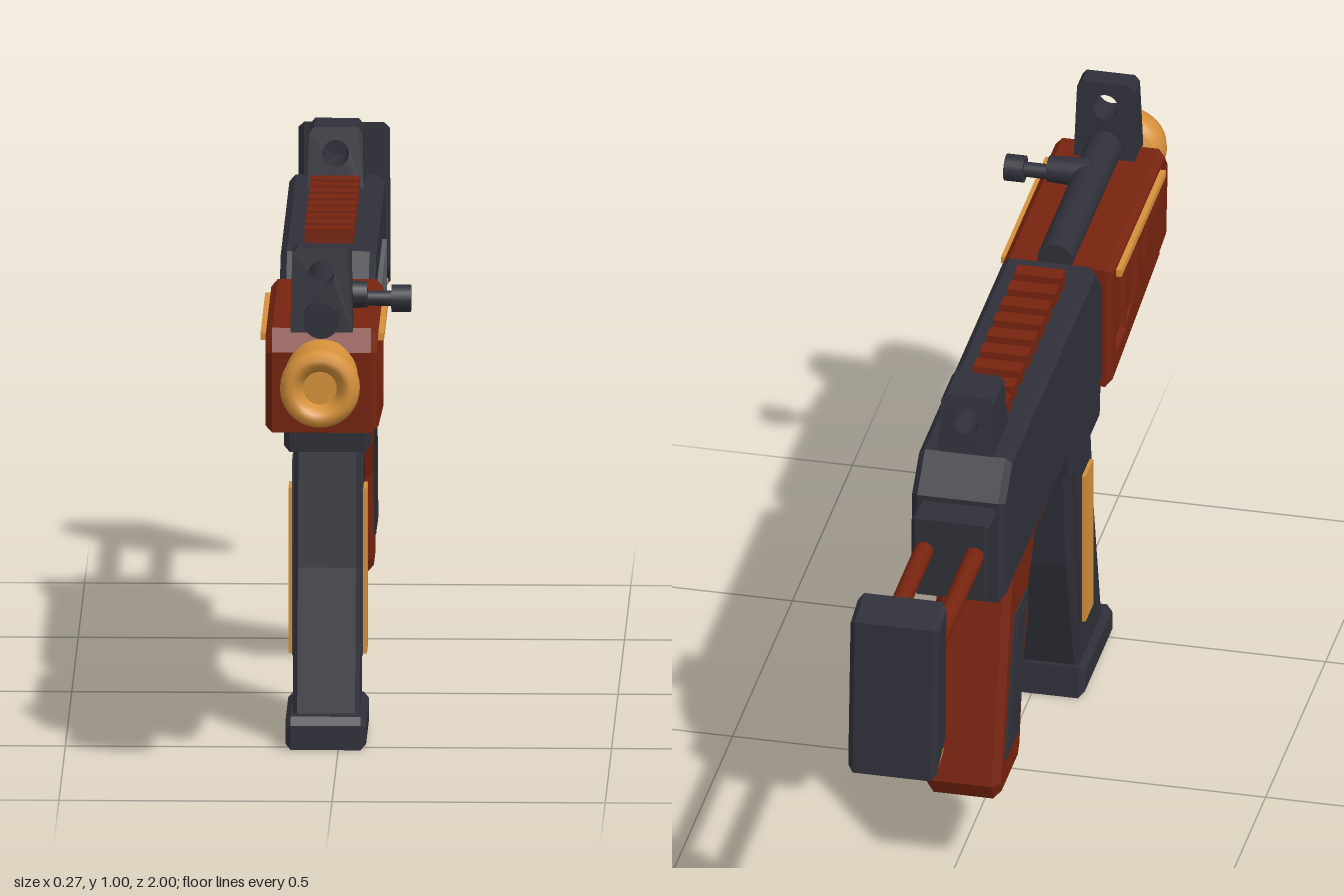
import * as THREE from 'three';

const paint = (name, color) => {
  const m = new THREE.MeshStandardMaterial({ color });
  m.name = name;
  return m;
};

export function createModel() {
  const dark = paint('charcoal', 0x30303a);
  const red = paint('rust red', 0x78240f);
  const gold = paint('brass gold', 0xd5913a);
  const grey = paint('port grey', 0x5e6466);

  const model = new THREE.Group();
  const gun = new THREE.Group();
  gun.name = 'gun';
  gun.position.x = -0.023; // the side knob offsets the body from the centre
  model.add(gun);

  const add = (name, geometry, material, x = 0, y = 0, z = 0) => {
    const mesh = new THREE.Mesh(geometry, material);
    mesh.name = name;
    mesh.position.set(x, y, z);
    gun.add(mesh);
    return mesh;
  };
  const box = (name, w, h, d, material, x, y, z) =>
    add(name, new THREE.BoxGeometry(w, h, d), material, x, y, z);
  const shapeOf = (pts) => new THREE.Shape(pts.map(([a, b]) => new THREE.Vector2(a, b)));

  // Side profile of [z, y] points, extruded across x with chamfered edges
  const slab = (name, pts, half, material, bevel = 0.01, x = 0, holes = []) => {
    const shape = shapeOf(pts);
    shape.holes = holes.map(shapeOf);
    const depth = 2 * (half - bevel);
    const g = new THREE.ExtrudeGeometry(shape, {
      depth, bevelEnabled: bevel > 0, bevelSize: bevel, bevelThickness: bevel,
      bevelOffset: -bevel, bevelSegments: 1,
    });
    g.translate(0, 0, -depth / 2).rotateY(-Math.PI / 2);
    return add(name, g, material, x);
  };
  // Cylinders along z and along x
  const rodZ = (name, r, z0, z1, material, x, y, sides = 24) =>
    add(name, new THREE.CylinderGeometry(r, r, z1 - z0, sides).rotateX(Math.PI / 2), material, x, y, (z0 + z1) / 2);
  const rodX = (name, r0, r1, x0, x1, material, y, z) =>
    add(name, new THREE.CylinderGeometry(r1, r0, x1 - x0, 20).rotateZ(-Math.PI / 2), material, (x0 + x1) / 2, y, z);

  // Receiver, rear block and side port
  slab('receiver', [[0.38, 0.62], [0.38, 0.83], [0.32, 0.89], [-0.385, 0.89], [-0.45, 0.83], [-0.45, 0.62]], 0.0875, dark, 0.012);
  slab('rearBlock', [[-0.44, 0.67], [-0.44, 0.82], [-0.518, 0.82], [-0.518, 0.67]], 0.073, dark, 0.008);
  box('sidePort', 0.009, 0.14, 0.428, grey, 0.0915, 0.744, 0.048);

  // Handguard with four recessed slots on each side
  const slots = [0.735, 0.645, 0.555, 0.462].map((z) =>
    [[z - 0.032, 0.668], [z + 0.032, 0.668], [z + 0.032, 0.795], [z - 0.032, 0.795]]);
  slab('handguard', [[0.38, 0.603], [0.848, 0.658], [0.862, 0.81], [0.83, 0.85], [0.38, 0.85]], 0.1025, red, 0.012, 0, slots);
  box('handguardCore', 0.185, 0.15, 0.4, red, 0, 0.733, 0.6);
  for (const s of [-1, 1]) box('handguardStrip', 0.012, 0.014, 0.37, gold, s * 0.107, 0.825, 0.602);

  // Muzzle: turned flare with a dished front
  const muzzle = [[0.067, 0.85], [0.067, 0.915], [0.06, 0.925], [0.06, 0.935], [0.068, 0.942], [0.073, 0.955],
    [0.073, 0.975], [0.068, 0.992], [0.057, 1], [0.046, 0.997], [0.036, 0.985], [0.029, 0.965]];
  add('muzzle', new THREE.LatheGeometry(muzzle.map(([r, z]) => new THREE.Vector2(r, z)), 36).rotateX(Math.PI / 2), gold, 0, 0.766, 0);
  rodZ('muzzleCore', 0.031, 0.86, 0.97, gold, 0, 0.766);

  // Upper tube and side knob
  rodZ('upperTube', 0.033, 0.36, 0.878, dark, 0, 0.872);
  rodX('knobBase', 0.029, 0.024, 0, 0.08, dark, 0.88, 0.667);
  rodX('knobShaft', 0.014, 0.014, 0.07, 0.13, dark, 0.873, 0.667);
  rodX('knobHead', 0.025, 0.025, 0.124, 0.16, dark, 0.873, 0.667);

  // Sights: pierced plates that thin towards the top
  const sight = (name, half, zc, baseDepth, topDepth, yBase, bottom) => {
    const c = 0.012;
    const shape = shapeOf([[-half, bottom], [half, bottom], [half - 0.003, 1 - c], [half - c, 1], [c - half, 1], [0.003 - half, 1 - c]]);
    const hole = new THREE.Path();
    hole.absarc(0, 0.953, 0.024, 0, Math.PI * 2, true);
    shape.holes.push(hole);
    const g = new THREE.ExtrudeGeometry(shape, { depth: 1, bevelEnabled: false, curveSegments: 20 });
    const p = g.attributes.position;
    for (let i = 0; i < p.count; i++) {
      const t = THREE.MathUtils.clamp((p.getY(i) - yBase) / (1 - yBase), 0, 1);
      p.setZ(i, (p.getZ(i) - 0.5) * THREE.MathUtils.lerp(baseDepth, topDepth, t));
    }
    g.computeVertexNormals();
    add(name, g, dark, 0, 0, zc);
  };
  sight('frontSight', 0.057, 0.811, 0.074, 0.042, 0.88, 0.845);
  sight('rearSight', 0.052, -0.322, 0.13, 0.085, 0.89, 0.88);

  // Top rail with teeth
  box('railBase', 0.074, 0.02, 0.49, red, 0, 0.894, 0.01);
  for (let i = 0; i < 9; i++) box('railTooth', 0.09, 0.03, 0.034, red, 0, 0.903, 0.238 - i * 0.0572);

  // Stock: twin rods, butt pad and brass toe
  for (const s of [-1, 1]) rodZ('stockRod', 0.018, -0.92, -0.5, red, s * 0.0475, 0.755, 16);
  slab('buttPad', [[-0.903, 0.883], [-0.982, 0.866], [-1, 0.557], [-0.985, 0.563], [-0.925, 0.59], [-0.905, 0.608]], 0.083, dark, 0.01);
  slab('buttToe', [[-0.92, 0.585], [-0.985, 0.578], [-0.99, 0.562], [-0.924, 0.574]], 0.08, gold, 0.002);

  // Magazine well, magazine, base and side inlays
  slab('magazineWell', [[0.405, 0.625], [0.395, 0.53], [0.165, 0.53], [0.15, 0.625]], 0.079, dark, 0.01);
  slab('magazine', [[0.392, 0.56], [0.392, 0.53], [0.425, 0.32], [0.49, 0.04], [0.295, 0.04], [0.218, 0.31], [0.192, 0.53], [0.192, 0.56]], 0.061, dark, 0.008);
  slab('magazineBase', [[0.515, 0.06], [0.527, 0.045], [0.527, 0], [0.272, 0], [0.28, 0.06]], 0.074, dark, 0.01);
  for (const s of [-1, 1]) {
    slab('magazinePanel', [[0.36, 0.51], [0.24, 0.51], [0.29, 0.15], [0.392, 0.15]], 0.004, dark, 0, s * 0.061);
    box('magazineInlay', 0.009, 0.308, 0.064, gold, s * 0.0675, 0.302, 0.332);
  }

  // Trigger and its guard
  slab('triggerGuard', [[0.163, 0.6], [0.153, 0.505], [0.14, 0.483], [-0.115, 0.483], [-0.13, 0.62], [-0.095, 0.62],
    [-0.085, 0.513], [0.112, 0.513], [0.132, 0.6]], 0.035, red, 0.004);
  slab('trigger', [[0.04, 0.63], [0.038, 0.6], [0.02, 0.585], [0.018, 0.56], [0.055, 0.53], [0.03, 0.527],
    [0, 0.55], [-0.008, 0.6], [-0.008, 0.63]], 0.016, dark, 0.003);

  // Pistol grip with side panels
  slab('grip', [[-0.095, 0.625], [-0.095, 0.585], [-0.16, 0.49], [-0.16, 0.43], [-0.2, 0.36], [-0.23, 0.2], [-0.25, 0.173],
    [-0.4, 0.173], [-0.414, 0.205], [-0.305, 0.625]], 0.07, red, 0.014);
  for (const s of [-1, 1]) {
    slab('gripPanel', [[-0.19, 0.5], [-0.293, 0.5], [-0.372, 0.243], [-0.262, 0.243], [-0.235, 0.365]], 0.004, dark, 0, s * 0.07);
    slab('gripPanelInset', [[-0.21, 0.485], [-0.283, 0.485], [-0.352, 0.258], [-0.272, 0.258], [-0.247, 0.37]], 0.003, dark, 0, s * 0.073);
  }

  return model;
}
